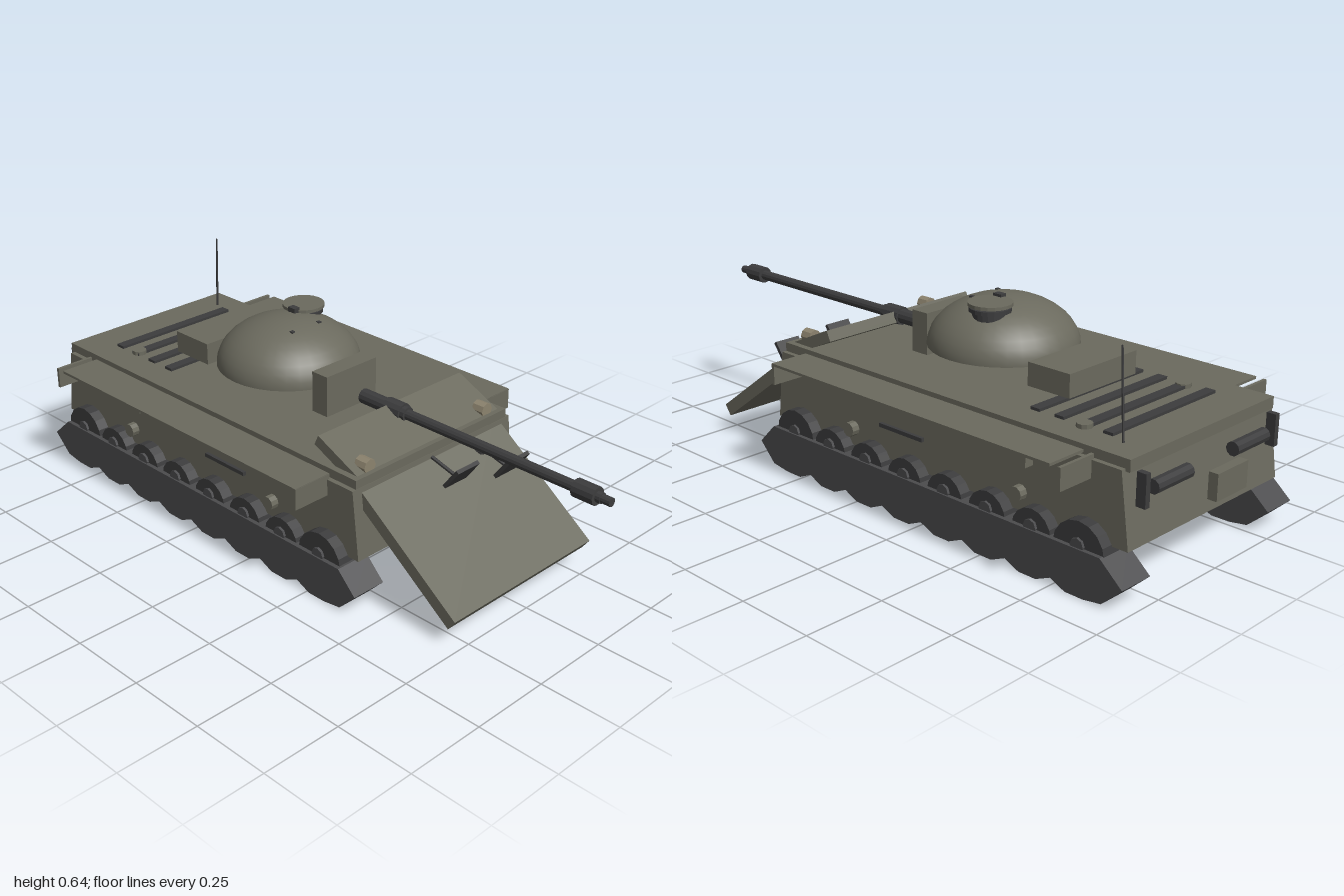
import * as THREE from 'three';

const mat = (color) => new THREE.MeshStandardMaterial({ color, flatShading: true, side: THREE.DoubleSide });

export function createModel() {
  const model = new THREE.Group();
  const body = mat(0x6b6a5e), dark = mat(0x3c3c3d), tread = mat(0x4b4b4d), lamp = mat(0x8c836e);
  const domeMat = new THREE.MeshStandardMaterial({ color: 0x6b6a5e, side: THREE.DoubleSide });

  const add = (name, geo, m, x = 0, y = 0, z = 0, rx = 0, rz = 0) => {
    const mesh = new THREE.Mesh(geo, m);
    mesh.name = name;
    mesh.position.set(x, y, z);
    mesh.rotation.set(rx, 0, rz);
    model.add(mesh);
    return mesh;
  };
  const box = (name, m, w, h, d, x, y, z, rx = 0) => add(name, new THREE.BoxGeometry(w, h, d), m, x, y, z, rx);
  // cylinder between two points
  const rod = (name, m, a, b, r, sides = 12, r2 = r) => {
    const p = new THREE.Vector3(...a), q = new THREE.Vector3(...b), dir = q.clone().sub(p);
    const mesh = add(name, new THREE.CylinderGeometry(r2, r, dir.length(), sides), m);
    mesh.position.copy(p).add(q).multiplyScalar(0.5);
    mesh.quaternion.setFromUnitVectors(new THREE.Vector3(0, 1, 0), dir.normalize());
    return mesh;
  };
  // side outline of [z, y] points, extruded from x to x + width
  const sideExtrude = (name, m, points, x, width) => {
    const shape = new THREE.Shape(points.map(([z, y]) => new THREE.Vector2(-z, y)));
    const geo = new THREE.ExtrudeGeometry(shape, { depth: width, bevelEnabled: false });
    geo.rotateY(Math.PI / 2);
    return add(name, geo, m, x, 0, 0);
  };
  // flat slab whose upper face runs between two [z, y] points
  const slab = (name, m, w, [z0, y0], [z1, y1], t) => {
    const len = Math.hypot(z1 - z0, y1 - y0), a = Math.atan2(y0 - y1, z1 - z0);
    return box(name, m, w, t, len, 0, (y0 + y1) / 2 - (t / 2) * Math.cos(a), (z0 + z1) / 2 - (t / 2) * Math.sin(a), a);
  };

  // hull, open underneath
  const outline = [[0.41, 0.155], [0.386, 0.37], [-0.93, 0.37], [-0.96, 0.155]];
  for (const x of [-0.335, 0.32]) sideExtrude('hullSide', body, outline, x, 0.015);
  sideExtrude('hullFront', body, [[0.41, 0.155], [0.386, 0.37], [0.371, 0.37], [0.395, 0.155]], -0.32, 0.64);
  sideExtrude('hullRear', body, [[-0.96, 0.155], [-0.93, 0.37], [-0.915, 0.37], [-0.945, 0.155]], -0.32, 0.64);
  box('deck', body, 0.64, 0.035, 1.33, 0, 0.38, -0.28);

  // front plates
  slab('upperGlacis', body, 0.6, [0.215, 0.468], [0.385, 0.39], 0.035);
  slab('frontRamp', body, 0.6, [0.36, 0.375], [0.74, 0.095], 0.04);
  for (const s of [-1, 1]) rod('headlight', lamp, [s * 0.25, 0.41, 0.33], [s * 0.25, 0.41, 0.37], 0.023, 8);
  box('deckLatch', body, 0.06, 0.02, 0.02, -0.13, 0.407, 0.185);

  // flaps and rods on the ramp
  for (const [x, y, z] of [[0.005, 0.325, 0.48], [0.19, 0.3, 0.515]]) {
    box('rampFlap', dark, 0.092, 0.1, 0.012, x, y, z, 0.64);
    rod('flapRod', dark, [x - 0.02, y + 0.01, z], [x - 0.02, y + 0.035, z - 0.09], 0.006, 6);
  }
  add('rodKnob', new THREE.SphereGeometry(0.02, 8, 6), dark, 0.165, 0.33, 0.42);

  for (const s of [-1, 1]) {
    // fender shelf with end plates
    box('fender', body, 0.13, 0.008, 1.086, s * 0.391, 0.382, -0.257);
    for (const z of [0.282, -0.83]) box('fenderEnd', body, 0.13, 0.065, 0.01, s * 0.391, 0.352, z);
    // side fittings
    box('sideBox', body, 0.03, 0.045, 0.11, s * 0.35, 0.32, -0.585);
    box('sideBar', dark, 0.012, 0.012, 0.175, s * 0.34, 0.255, -0.147);
    for (const z of [0.06, -0.6]) rod('sideCap', body, [s * 0.33, 0.21, z], [s * 0.36, 0.21, z], 0.022, 10);
    // rear fittings
    rod('exhaust', dark, [s * 0.1, 0.31, -0.965], [s * 0.25, 0.31, -0.965], 0.021, 10);
    box('tailLight', dark, 0.018, 0.095, 0.03, s * 0.29, 0.315, -0.965);
  }
  box('rearBox', body, 0.14, 0.08, 0.03, -0.08, 0.23, -0.97);

  // tracks with a scalloped lower run, and road wheels
  const wheelZ = Array.from({ length: 8 }, (_, i) => 0.29 - i * 0.16);
  const run = [[-0.985, 0.075], [-0.91, 0.14], [0.38, 0.14], [0.445, 0.075], [0.385, 0.015]];
  wheelZ.forEach((z, i) => {
    if (i > 0) run.push([z + 0.08, 0.028]);
    run.push([z + 0.03, 0.006], [z - 0.03, 0.006]);
  });
  run.push([-0.92, 0.015]);
  for (const s of [-1, 1]) {
    sideExtrude('track', tread, run, s > 0 ? 0.27 : -0.385, 0.115);
    wheelZ.forEach((z, i) => {
      const end = i === 0 || i === 7, r = end ? 0.085 : 0.068;
      rod('roadWheel', dark, [s * 0.285, 0.127, z], [s * 0.372, 0.127, z], r, 16);
      rod('wheelHub', tread, [s * 0.37, 0.145, z], [s * 0.38, 0.145, z], 0.022, 8);
    });
  }

  // turret dome and gun mount
  const dome = add('turretDome', new THREE.SphereGeometry(0.226, 32, 10, 0, Math.PI * 2, 0, Math.PI / 2), domeMat, 0, 0.462, -0.227);
  dome.scale.y = 0.15 / 0.226;
  add('turretBase', new THREE.CircleGeometry(0.226, 32), body, 0, 0.462, -0.227, Math.PI / 2);
  box('turretBin', body, 0.29, 0.07, 0.15, 0, 0.457, -0.525);
  box('mantlet', body, 0.208, 0.13, 0.062, 0, 0.463, 0.018);
  for (const s of [-1, 1]) box('domeStud', dark, 0.012, 0.008, 0.012, s * 0.055, 0.597, -0.15);

  // commander's hatch
  for (const [r, y, h] of [[0.052, 0.58, 0.03], [0.062, 0.596, 0.012], [0.066, 0.612, 0.01]])
    add('hatch', new THREE.CylinderGeometry(r, r, h, 20), y > 0.61 ? body : dark, 0.1, y, -0.265);
  rod('hatchPost', dark, [0.1, 0.58, -0.265], [0.1, 0.61, -0.265], 0.04, 16);
  box('periscope', dark, 0.022, 0.024, 0.03, 0.04, 0.613, -0.245);

  // gun: [start z, end z, radius]
  for (const [a, b, r] of [[0.1, 0.28, 0.023], [0.2, 0.265, 0.029], [0.27, 0.97, 0.016], [0.885, 0.955, 0.027], [0.965, 1.0, 0.013]])
    rod('gunBarrel', dark, [0, 0.452, a], [0, 0.452, b], r, 12);

  // engine deck slats and antenna
  for (const z of [-0.8, -0.72, -0.635, -0.55]) box('engineSlat', dark, 0.455, 0.012, 0.032, 0, 0.4, z);
  for (const x of [-0.21, 0.225]) rod('deckCap', body, [x, 0.39, -0.72], [x, 0.41, -0.72], 0.023, 10);
  rod('antenna', dark, [0.243, 0.39, -0.862], [0.232, 0.65, -0.838], 0.004, 6, 0.003);

  return model;
}
